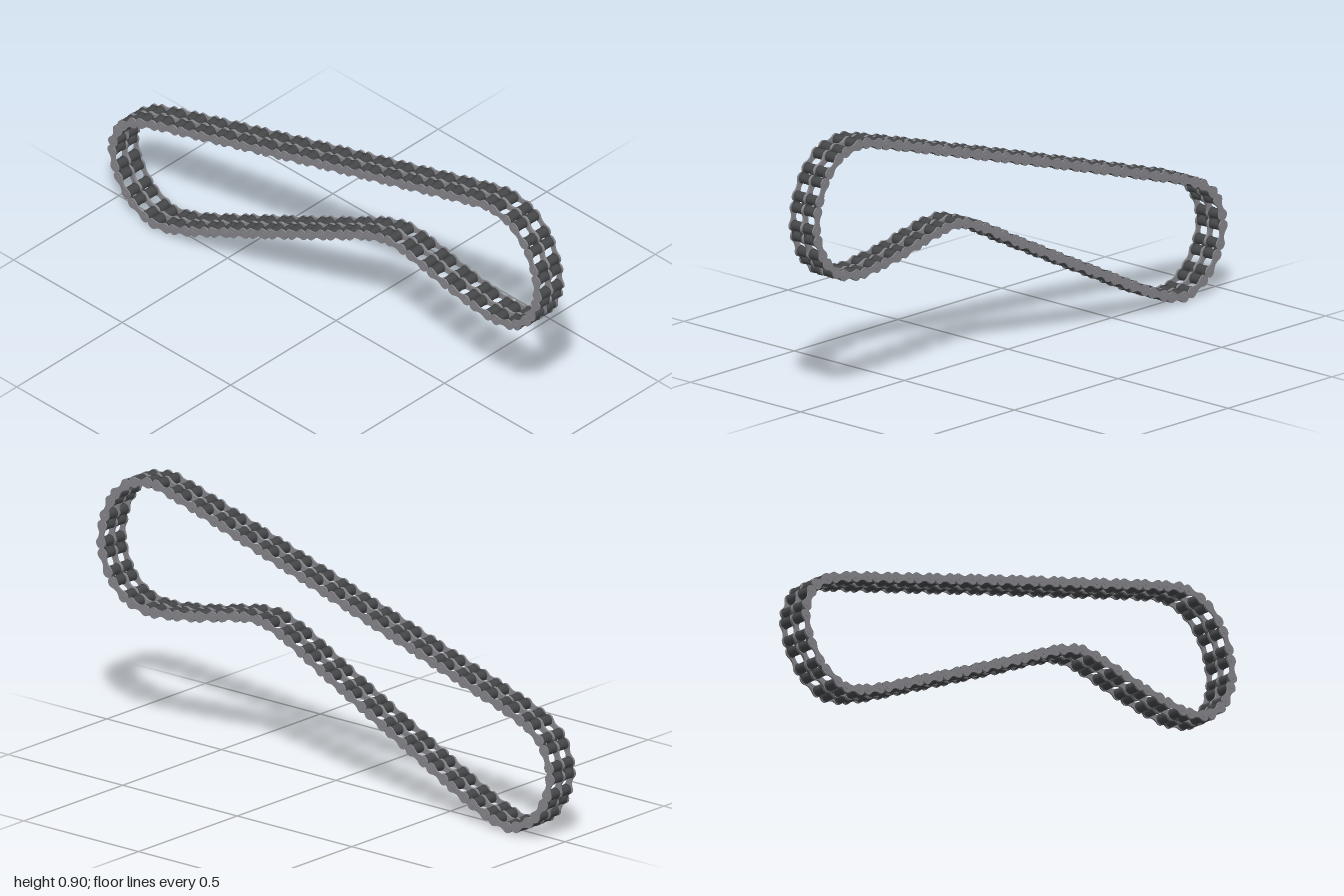
import * as THREE from 'three';
import { mergeGeometries } from 'three/addons/utils/BufferGeometryUtils.js';

const LINKS = 46;
const EYE = 0.0195; // radius of the plate ends
const HALF_INNER = 0.019; // half the pin distance of a roller link

// Figure-eight plate: two round eyes joined by a waist, centred on z
function plate(half, waist, thickness, z, r = EYE) {
  const a = (Math.PI * 2) / 3;
  const cy = 2 * (waist - 0.5 * r * Math.sin(a));
  const s = new THREE.Shape();
  s.absarc(half, 0, r, -a, a, false);
  s.quadraticCurveTo(0, cy, -half - r * Math.cos(a), r * Math.sin(a));
  s.absarc(-half, 0, r, Math.PI - a, Math.PI + a, false);
  s.quadraticCurveTo(0, -cy, half + r * Math.cos(a), -r * Math.sin(a));
  const g = new THREE.ExtrudeGeometry(s, { depth: thickness, bevelEnabled: false, curveSegments: 7 });
  return g.translate(0, 0, z - thickness / 2);
}

// Cylinder lying along z
function bar(x, z, radius, length, sides) {
  return new THREE.CylinderGeometry(radius, radius, length, sides)
    .rotateX(Math.PI / 2).translate(x, 0, z).toNonIndexed();
}

// Two rows of rollers held by thin side plates
function rollerLinkGeometry() {
  const parts = [];
  for (const row of [-1, 1]) {
    for (const end of [-1, 1]) parts.push(bar(end * HALF_INNER, row * 0.027, 0.0175, 0.035, 16));
    for (const z of [0.0085, 0.0465]) parts.push(plate(HALF_INNER, 0.015, 0.003, row * z, 0.019));
  }
  return mergeGeometries(parts);
}

// Outer and centre plates with the two pins through them
function pinLinkGeometry(half) {
  const parts = [
    plate(half, 0.01, 0.005, 0.0535),
    plate(half, 0.01, 0.005, -0.0535),
    plate(half, 0.01, 0.008, 0),
  ];
  for (const end of [-1, 1]) parts.push(bar(end * half, 0, 0.007, 0.115, 10));
  return mergeGeometries(parts);
}

export function createModel() {
  const chain = new THREE.Group();
  chain.name = 'rollerChain';

  // Centre line of the loop
  const path = new THREE.CatmullRomCurve3([
    [0.757, 0.885], [0.65, 0.86], [0.3, 0.757], [0, 0.668], [-0.3, 0.577], [-0.6, 0.485],
    [-0.84, 0.408], [-0.92, 0.365], [-0.965, 0.3], [-0.98, 0.225], [-0.955, 0.14],
    [-0.9, 0.068], [-0.8, 0.022], [-0.7, 0.045], [-0.4, 0.185], [0, 0.382], [0.2, 0.482],
    [0.3, 0.51], [0.4, 0.499], [0.56, 0.464], [0.7, 0.443], [0.78, 0.438], [0.875, 0.462],
    [0.945, 0.53], [0.979, 0.625], [0.97, 0.71], [0.93, 0.8], [0.86, 0.864],
  ].map(([x, y]) => new THREE.Vector3(x, y, 0)), true);
  path.arcLengthDivisions = 1200;

  const length = path.getLength();
  const step = length / LINKS;
  const halfOuter = step / 2 - HALF_INNER;
  const dark = new THREE.MeshStandardMaterial({ color: 0x444648 });
  const grey = new THREE.MeshStandardMaterial({ color: 0x85858a });
  const rollerGeo = rollerLinkGeometry();
  const pinGeo = pinLinkGeometry(halfOuter);

  // Lay a link along the chord between its two pins
  function addLink(name, geometry, material, centre, half) {
    const at = (d) => path.getPointAt((((d / length) % 1) + 1) % 1);
    const a = at(centre - half), b = at(centre + half);
    const link = new THREE.Mesh(geometry, material);
    link.name = name;
    link.position.addVectors(a, b).multiplyScalar(0.5);
    link.rotation.z = Math.atan2(b.y - a.y, b.x - a.x);
    chain.add(link);
  }

  for (let i = 0; i < LINKS; i++) {
    addLink('rollerLink', rollerGeo, dark, i * step, HALF_INNER);
    addLink('pinLink', pinGeo, grey, (i + 0.5) * step, halfOuter);
  }
  return chain;
}
